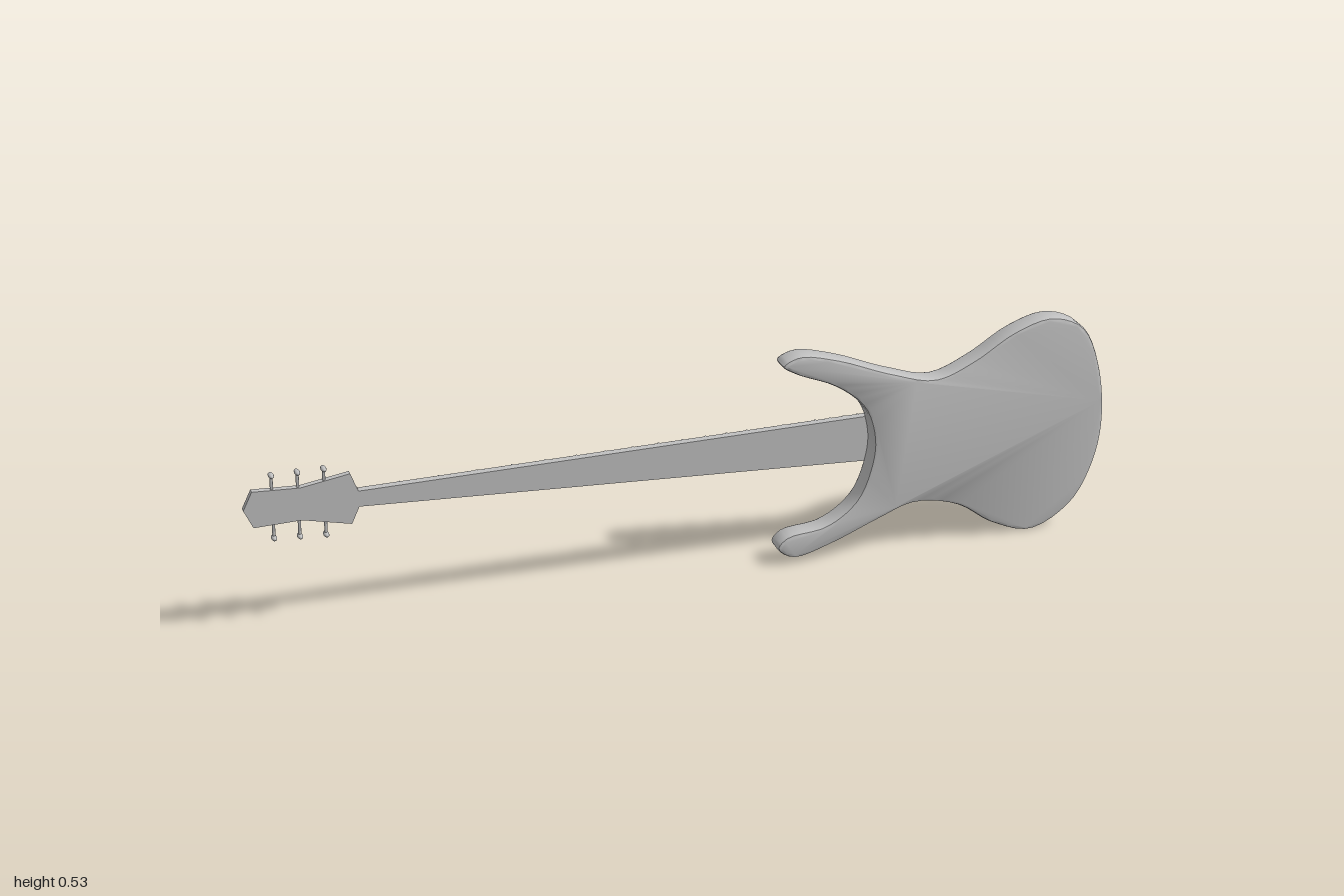
import * as THREE from 'three';
import { toCreasedNormals } from 'three/addons/utils/BufferGeometryUtils.js';

const grey = new THREE.MeshStandardMaterial({ color: 0xbfbfbf });
grey.name = 'plain grey';

const vecs = (pts) => pts.map(([x, y]) => new THREE.Vector2(x, y));

export function createModel() {
  const model = new THREE.Group();
  model.name = 'electricGuitar';
  // The instrument leans slightly about the middle of its body; its strings face -z
  const lean = new THREE.Group();
  lean.name = 'leaningGuitar';
  lean.position.set(0.6, 0.27, 0);
  lean.rotation.set(0.043, 0.01, 0);
  model.add(lean);
  const guitar = new THREE.Group();
  guitar.name = 'guitar';
  guitar.position.set(-0.6, -0.27, 0);
  lean.add(guitar);

  const add = (name, geometry, x = 0, y = 0, z = 0) => {
    const mesh = new THREE.Mesh(geometry, grey);
    mesh.name = name;
    mesh.position.set(x, y, z);
    guitar.add(mesh);
    return mesh;
  };
  const box = (name, w, h, d, x, y, z) => add(name, new THREE.BoxGeometry(w, h, d), x, y, z);
  // Slab between two z levels with an optional bevelled rim
  const slab = (name, pts, z0, z1, bevel = 0) => {
    const g = new THREE.ExtrudeGeometry(new THREE.Shape(pts), {
      depth: z1 - z0 - 2 * bevel, bevelEnabled: bevel > 0, bevelSize: bevel,
      bevelThickness: bevel, bevelOffset: -bevel, bevelSegments: 2,
    });
    return add(name, toCreasedNormals(g, 0.6), 0, 0, z0 + bevel);
  };
  // Round bar between two points
  const rod = (name, a, b, r, sides = 6) => {
    const p = new THREE.Vector3(...a), q = new THREE.Vector3(...b);
    const mesh = add(name, new THREE.CylinderGeometry(r, r, p.distanceTo(q), sides));
    mesh.position.copy(p).add(q).multiplyScalar(0.5);
    mesh.quaternion.setFromUnitVectors(new THREE.Vector3(0, 1, 0), q.sub(p).normalize());
    return mesh;
  };
  const tube = (name, pts, r) => add(name, new THREE.TubeGeometry(
    new THREE.CatmullRomCurve3(pts.map((p) => new THREE.Vector3(...p))), 24, r, 6));

  // Double-horned body
  const outline = new THREE.CatmullRomCurve3([
    [0.2, 0.5], [0.238, 0.519], [0.33, 0.5], [0.46, 0.45], [0.57, 0.422], [0.66, 0.455],
    [0.757, 0.513], [0.848, 0.537], [0.928, 0.503], [0.976, 0.4], [0.994, 0.257],
    [0.976, 0.15], [0.928, 0.06], [0.83, 0.005], [0.73, 0.037], [0.64, 0.096],
    [0.53, 0.118], [0.446, 0.09], [0.33, 0.043], [0.238, 0.021], [0.2, 0.05],
    [0.222, 0.075], [0.318, 0.091], [0.388, 0.144], [0.42, 0.225], [0.425, 0.294],
    [0.398, 0.374], [0.33, 0.433], [0.233, 0.476],
  ].map(([x, y]) => new THREE.Vector3(x, y, 0)), true, 'centripetal');
  slab('body', outline.getPoints(130).slice(0, -1).map((p) => new THREE.Vector2(p.x, p.y)),
    -0.018, 0.034, 0.008);

  // Pickguard: curved upper edge, straight lower edge
  const upper = new THREE.SplineCurve(vecs([
    [0.465, 0.345], [0.435, 0.405], [0.49, 0.4], [0.6, 0.385], [0.7, 0.42],
    [0.765, 0.45], [0.82, 0.43], [0.84, 0.386], [0.845, 0.345],
  ])).getPoints(40);
  slab('pickguard', [...upper, ...vecs([[0.845, 0.225], [0.79, 0.217], [0.74, 0.195],
    [0.47, 0.19], [0.465, 0.215]])], -0.023, -0.017);

  // Neck and headstock
  const nutX = -0.752, heelX = 0.47;
  slab('neck', vecs([[nutX, 0.278], [heelX, 0.218], [heelX, 0.332], [nutX, 0.315]]), -0.03, -0.012);
  slab('headstock', vecs([[-1, 0.305], [-0.98, 0.347], [-0.875, 0.342], [-0.767, 0.36],
    [-0.75, 0.315], [-0.75, 0.278], [-0.767, 0.24], [-0.875, 0.265], [-0.98, 0.262]]),
    -0.024, -0.01);
  box('nut', 0.008, 0.038, 0.008, nutX, 0.2965, -0.03);

  // Frets follow the equal-tempered spacing over the scale length
  for (let i = 1; i <= 22; i++) {
    const x = nutX + 1.69 * (1 - 2 ** (-i / 12));
    const t = (x - nutX) / (heelX - nutX);
    box('fret', 0.004, 0.037 + 0.077 * t, 0.004, x, 0.2965 - 0.0215 * t, -0.031);
  }

  // Tuners: side shafts with buttons, and string posts on the face
  [-0.936, -0.88, -0.823].forEach((x, i) => {
    for (const side of [1, -1]) {
      const mid = 0.303 - (side < 0 ? 0.004 * i : 0);
      const end = mid + side * 0.074;
      rod('tunerShaft', [x, 0.303, -0.017], [x, end, -0.017], 0.0035, 8);
      const button = add('tunerButton', new THREE.SphereGeometry(0.008, 10, 8), x, end, -0.017);
      button.scale.set(0.8, 0.7, 1.7);
      rod('tunerPost', [x, 0.303 + side * 0.022, -0.022], [x, 0.303 + side * 0.022, -0.035], 0.007, 10);
    }
  });

  // Pickups with pole pieces
  for (const [x, w] of [[0.87, 0.036], [0.55, 0.042]]) {
    box('pickup', w, 0.116, 0.014, x, 0.278, -0.025);
    for (const dx of [-0.01, 0.01]) {
      box('pickupRail', 0.008, 0.108, 0.004, x + dx, 0.278, -0.033);
    }
  }

  // Bridge plate, saddles and strings
  slab('bridgePlate', vecs([[0.915, 0.205], [0.968, 0.2], [0.955, 0.235], [0.955, 0.315],
    [0.97, 0.35], [0.915, 0.345]]), -0.029, -0.017);
  for (let i = 0; i < 6; i++) {
    const by = 0.226 + 0.021 * i, ny = 0.282 + 0.0058 * i;
    box('saddle', 0.026, 0.011, 0.012, 0.938, by, -0.034);
    rod('string', [0.938, by, -0.041], [nutX, ny, -0.034], 0.0018);
    const side = i < 3 ? -1 : 1;
    const px = [-0.936, -0.88, -0.823][side < 0 ? i : 5 - i];
    rod('stringEnd', [nutX, ny, -0.034], [px, 0.303 + side * 0.022, -0.03], 0.0016);
  }

  // Tremolo arm and its curved link to the bridge
  rod('tremoloArm', [0.978, 0.425, -0.024], [0.79, 0.365, -0.03], 0.004, 8);
  tube('tremoloLink', [[0.96, 0.335, -0.026], [0.962, 0.375, -0.028], [0.935, 0.408, -0.028],
    [0.9, 0.41, -0.028], [0.875, 0.392, -0.028]], 0.004);

  // Control knobs
  for (const [x, y] of [[0.854, 0.495], [0.921, 0.463], [0.849, 0.435], [0.91, 0.408]]) {
    rod('controlKnob', [x, y, -0.016], [x, y, -0.032], 0.013, 16);
  }
  return model;
}
